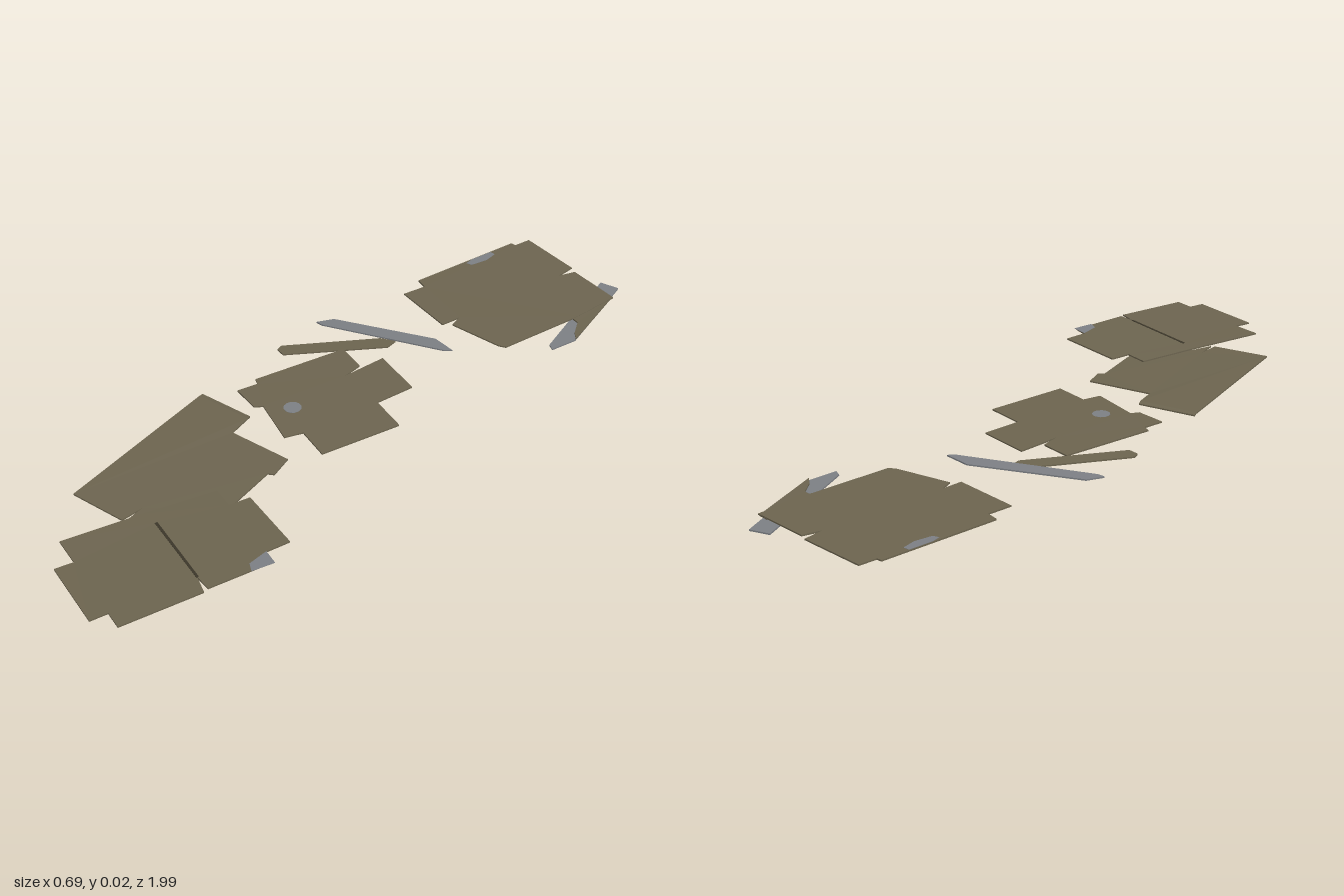
import * as THREE from 'three';

const mat = (name, color) => Object.assign(new THREE.MeshStandardMaterial({ color }), { name });

export function createModel() {
  const group = new THREE.Group();
  const brown = mat('cardboard brown', 0x6c644f);
  const grey = mat('paper grey', 0x7c7f84);
  const dark = mat('crease dark', 0x3b3629);

  // Thin sheet from an [x, z] outline; lift(x, z) gives the height of its underside
  const sheet = (name, material, outline, lift, thickness = 0.004) => {
    const shape = new THREE.Shape(outline.map(([x, z]) => new THREE.Vector2(x, -z)));
    const geo = new THREE.ExtrudeGeometry(shape, { depth: thickness, bevelEnabled: false, curveSegments: 1 });
    geo.rotateX(-Math.PI / 2);
    const p = geo.attributes.position;
    for (let i = 0; i < p.count; i++) p.setY(i, p.getY(i) + lift(p.getX(i), p.getZ(i)));
    geo.computeVertexNormals();
    const mesh = new THREE.Mesh(geo, material);
    mesh.name = name;
    group.add(mesh);
  };

  // Round paper patch outline
  const oval = (cx, cz, rx, rz, n = 12) => Array.from({ length: n }, (_, i) => {
    const a = (i / n) * Math.PI * 2;
    return [cx + rx * Math.cos(a), cz + rz * Math.sin(a)];
  });

  // Back flattened box, a little raised at its far end
  const backLift = (x, z) => 0.006 + 0.022 * Math.max(0, -0.6 - z);
  sheet('backSheet', brown, [
    [-0.21, -0.99], [-0.02, -0.97], [-0.02, -0.91], [0, -0.96], [0.165, -0.94], [0.155, -0.8],
    [0.11, -0.54], [0.09, -0.53], [-0.07, -0.51], [-0.08, -0.55], [-0.09, -0.49], [-0.275, -0.52],
    [-0.26, -0.59], [-0.295, -0.6], [-0.235, -0.94], [-0.22, -0.94],
  ], backLift);
  sheet('backSheetPatch', grey, [
    [-0.26, -0.79], [-0.247, -0.86], [-0.23, -0.86], [-0.226, -0.82], [-0.24, -0.77], [-0.257, -0.765],
  ], (x, z) => backLift(x, z) + 0.004, 0.0006);

  // Grey strip under the back sheet and the brown flap lying over it
  sheet('backStrip', grey, [
    [0.08, -0.985], [0.135, -1], [0.165, -0.9], [0.22, -0.71], [0.205, -0.63], [0.185, -0.64],
  ], () => 0.003);
  sheet('backStripFlap', brown, [
    [0.13, -0.945], [0.16, -0.94], [0.222, -0.71], [0.2, -0.73], [0.172, -0.775], [0.14, -0.78],
  ], (x, z) => 0.0085 + 0.02 * Math.max(0, -0.75 - z));

  // Two loose strips
  sheet('greyStrip', grey, [
    [-0.35, -0.24], [-0.325, -0.285], [-0.045, -0.415], [0.028, -0.407], [0.01, -0.39], [-0.33, -0.24],
  ], (x) => 0.003 + 0.04 * (x + 0.35));
  sheet('brownStrip', brown, [
    [-0.335, -0.09], [-0.165, -0.315], [-0.125, -0.335], [-0.12, -0.3], [-0.3, -0.065], [-0.33, -0.07],
  ], (x) => 0.001 + 0.02 * (x + 0.33));

  // Middle flattened box with a round patch
  const middleLift = (x, z) => 0.003 + 0.02 * Math.max(0, -0.05 - z);
  sheet('middleSheet', brown, [
    [-0.09, -0.25], [0.06, -0.215], [0.042, -0.1], [0.153, -0.073], [0.1, 0.16], [0, 0.135],
    [-0.02, 0.185], [-0.16, 0.135], [-0.175, 0.155], [-0.26, 0.14], [-0.245, 0.08], [-0.265, 0.07],
    [-0.198, -0.2], [-0.11, -0.18], [-0.105, -0.12],
  ], middleLift);
  sheet('middleSheetPatch', grey, oval(-0.1, 0.082, 0.025, 0.025),
    (x, z) => middleLift(x, z) + 0.004, 0.0006);

  // Long flattened box with a turned-down back edge
  const longLift = (x, z) => 0.002 + 0.04 * Math.max(0, 0.42 - z);
  sheet('longSheet', brown, [
    [-0.307, 0.235], [-0.14, 0.208], [-0.125, 0.275], [0.06, 0.245], [0.08, 0.31], [0.065, 0.32],
    [0.095, 0.47], [0.11, 0.615], [-0.02, 0.64], [-0.045, 0.7], [-0.055, 0.64], [-0.055, 0.705],
    [-0.22, 0.732],
  ], longLift);
  sheet('longSheetBackFlap', brown, [
    [-0.31, 0.222], [-0.145, 0.195], [-0.14, 0.208], [-0.307, 0.235],
  ], (x, z) => longLift(x, z) - 0.5 * Math.max(0, 0.228 - z - (x + 0.31) * 0.16), 0.004);

  // Front flattened box, in two halves that meet at a raised fold
  const frontLift = (x, z) => 0.009 + 0.02 * Math.max(0, x) - 0.03 * Math.max(0, z - 0.72);
  sheet('frontSheetBackHalf', brown, [
    [0.03, 0.462], [0.095, 0.478], [0.11, 0.42], [0.308, 0.463], [0.295, 0.53], [0.335, 0.545],
    [0.297, 0.72], [0.25, 0.713], [0.02, 0.655], [-0.03, 0.655],
  ], (x, z) => frontLift(x, z));
  sheet('frontSheetFrontHalf', brown, [
    [-0.03, 0.655], [0.02, 0.655], [0.25, 0.713], [0.3, 0.735], [0.245, 0.955], [0.192, 0.942],
    [0.18, 0.99], [-0.025, 0.94], [-0.01, 0.89], [-0.095, 0.87],
  ], frontLift);
  sheet('frontSheetFold', dark, [
    [0.02, 0.651], [0.25, 0.709], [0.25, 0.716], [0.02, 0.659],
  ], (x, z) => frontLift(x, z) + 0.004, 0.0008);
  sheet('frontSheetPatch', grey, [
    [0.295, 0.53], [0.342, 0.543], [0.325, 0.605], [0.3, 0.59],
  ], (x, z) => frontLift(x, z) + 0.0041, 0.0006);

  // Rest the lowest sheet on the ground
  group.position.y = -new THREE.Box3().setFromObject(group).min.y;
  return group;
}
